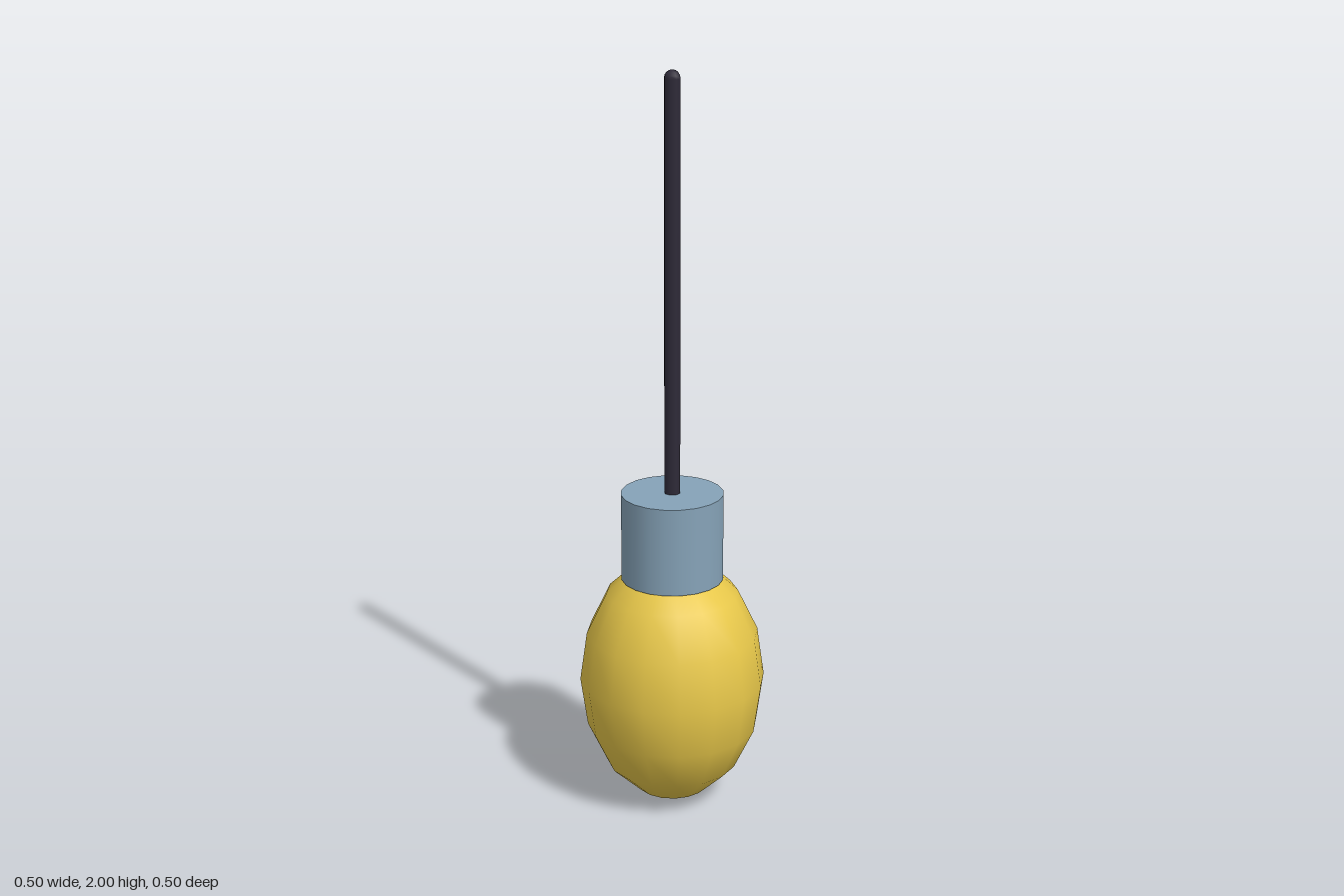
import * as THREE from 'three';

function part(name, geometry, color, y) {
  const mesh = new THREE.Mesh(geometry, new THREE.MeshStandardMaterial({ color }));
  mesh.name = name;
  mesh.position.y = y;
  return mesh;
}

export function createModel() {
  const group = new THREE.Group();
  group.name = 'hangingBulb';

  // Egg-shaped glass bulb
  const bulb = part('bulb', new THREE.SphereGeometry(0.25, 16, 8), 0xe8c84a, 0.35);
  bulb.scale.y = 1.4;

  // Cylindrical socket over the top of the bulb
  const socket = part('socket', new THREE.CylinderGeometry(0.137, 0.137, 0.24, 20), 0x86a3b8, 0.76);

  // Round-ended cord, sunk slightly into the socket
  const radius = 0.022, bottom = 0.86, top = 2;
  const cordGeometry = new THREE.CapsuleGeometry(radius, top - bottom - 2 * radius, 4, 8);
  const cord = part('cord', cordGeometry, 0x2e2a38, (top + bottom) / 2);

  group.add(bulb, socket, cord);
  return group;
}
